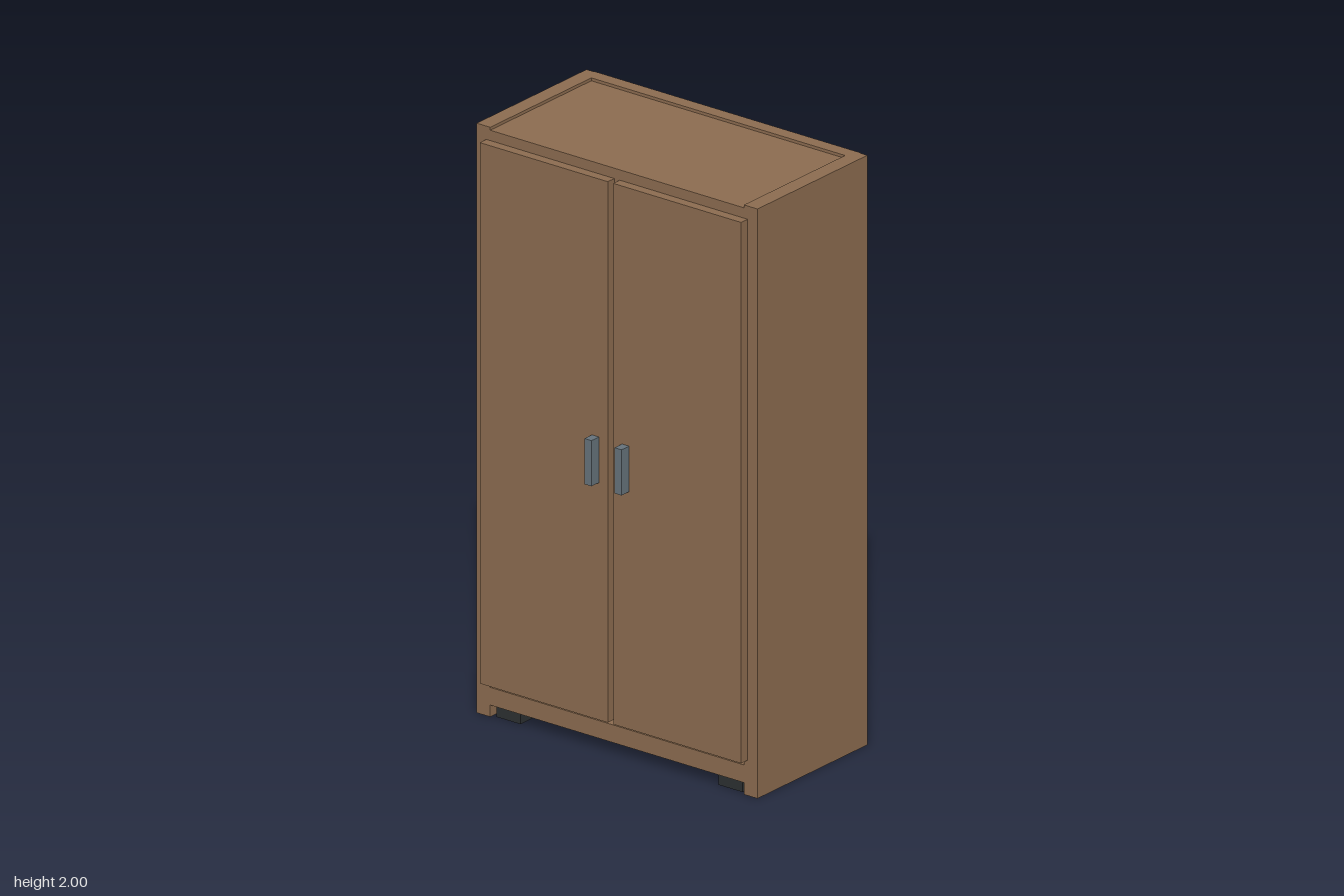
import * as THREE from 'three';

export function createModel() {
  const model = new THREE.Group();
  model.name = 'wardrobe';

  const wood = new THREE.MeshStandardMaterial({ color: 0x8b6b4f });
  const metal = new THREE.MeshStandardMaterial({ color: 0x66727a });
  const rubber = new THREE.MeshStandardMaterial({ color: 0x2c2f31 });

  // Box given by its extents along each axis
  function addBox(name, material, [x0, x1], [y0, y1], [z0, z1]) {
    const mesh = new THREE.Mesh(new THREE.BoxGeometry(x1 - x0, y1 - y0, z1 - z0), material);
    mesh.position.set((x0 + x1) / 2, (y0 + y1) / 2, (z0 + z1) / 2);
    mesh.name = name;
    model.add(mesh);
  }

  // Carcass: recessed top and raised bottom between the sides
  addBox('backPanel', wood, [-0.532, 0.532], [0, 2], [-0.315, -0.268]);
  addBox('topPanel', wood, [-0.506, 0.506], [1.925, 1.99], [-0.268, 0.242]);
  addBox('bottomPanel', wood, [-0.506, 0.506], [0.04, 0.1], [-0.268, 0.242]);

  for (const s of [1, -1]) {
    const side = s > 0 ? 'left' : 'right';
    const span = (a, b) => (s > 0 ? [a, b] : [-b, -a]);

    addBox(side + 'SidePanel', wood, span(0.506, 0.56), [0, 2], [-0.312, 0.242]);

    // Overlay door with its upright handle
    addBox(side + 'Door', wood, span(0.011, 0.521), [0.12, 1.955], [0.242, 0.275]);
    addBox(side + 'Handle', metal, span(0.046, 0.074), [0.925, 1.08], [0.275, 0.313]);

    // Feet run up through the bottom panel
    addBox(side + 'FrontFoot', rubber, span(0.395, 0.49), [0, 0.12], [0.135, 0.23]);
    addBox(side + 'BackFoot', rubber, span(0.395, 0.49), [0, 0.12], [-0.26, -0.165]);
  }

  return model;
}
